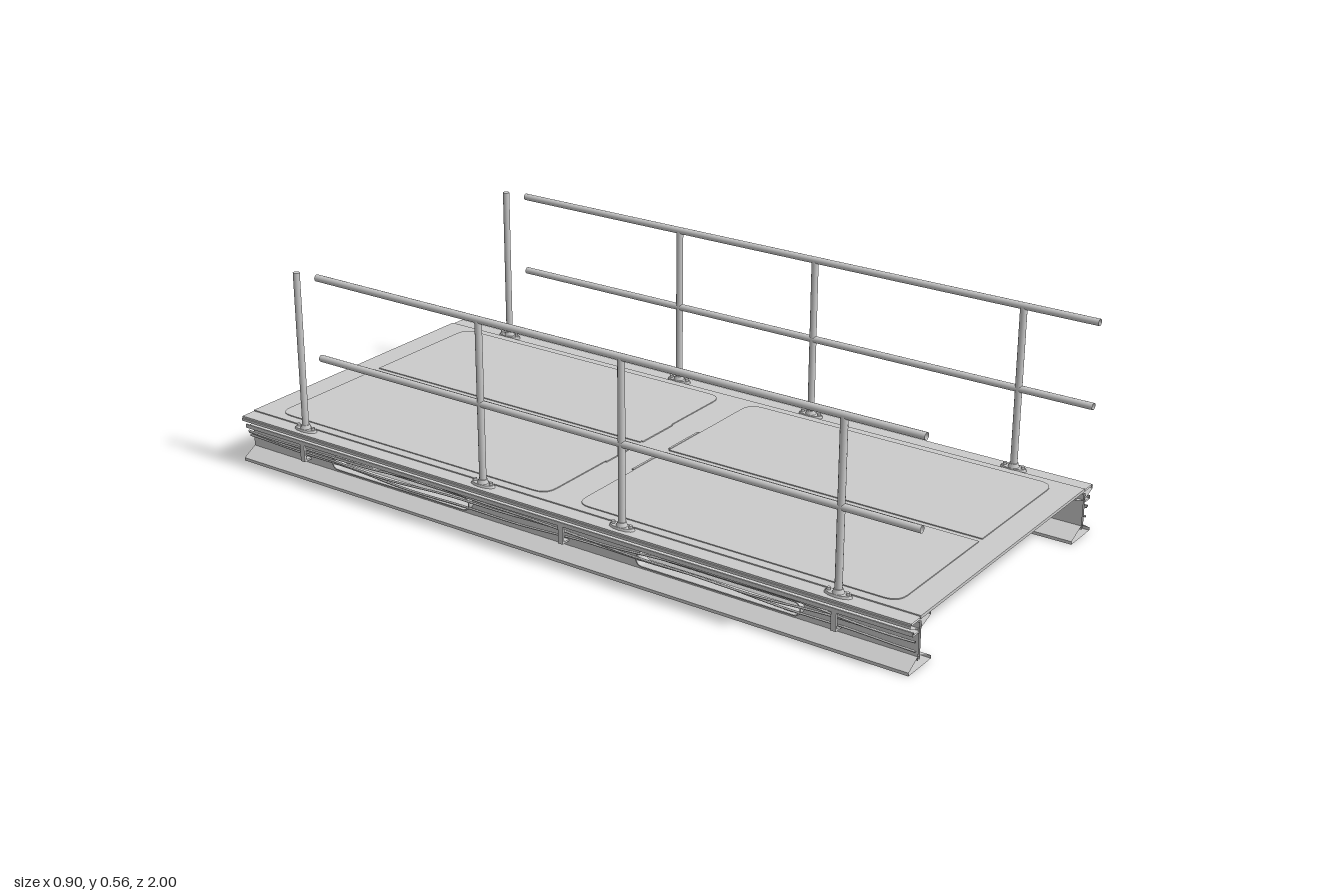
import * as THREE from 'three';

const steel = new THREE.MeshStandardMaterial({ color: 0xcccccc, side: THREE.DoubleSide });

function add(parent, name, geometry, x = 0, y = 0, z = 0) {
  const mesh = new THREE.Mesh(geometry, steel);
  mesh.name = name;
  mesh.position.set(x, y, z);
  parent.add(mesh);
  return mesh;
}

// Open-ended rolled section: a closed (x, y) profile swept along z
function rolled(profile, z0, z1) {
  const pos = [];
  profile.forEach(([ax, ay], i) => {
    const [bx, by] = profile[(i + 1) % profile.length];
    pos.push(ax, ay, z1, bx, by, z1, bx, by, z0, ax, ay, z1, bx, by, z0, ax, ay, z0);
  });
  const g = new THREE.BufferGeometry();
  g.setAttribute('position', new THREE.Float32BufferAttribute(pos, 3));
  g.computeVertexNormals();
  return g;
}

// Rounded slot outline
function stadium(Path, cx, cy, length, r) {
  const p = new Path();
  const h = length / 2 - r;
  p.moveTo(cx - h, cy - r);
  p.lineTo(cx + h, cy - r);
  p.absarc(cx + h, cy, r, -Math.PI / 2, Math.PI / 2, false);
  p.lineTo(cx - h, cy + r);
  p.absarc(cx - h, cy, r, Math.PI / 2, Math.PI * 1.5, false);
  return p;
}

// Flat plate lying on y, with individually chosen corner radii
function panel(x0, x1, z0, z1, radii, depth) {
  const s = new THREE.Shape();
  const [a, b, c, d] = radii;
  s.moveTo(x0 + a, z0);
  s.lineTo(x1 - b, z0);
  s.quadraticCurveTo(x1, z0, x1, z0 + b);
  s.lineTo(x1, z1 - c);
  s.quadraticCurveTo(x1, z1, x1 - c, z1);
  s.lineTo(x0 + d, z1);
  s.quadraticCurveTo(x0, z1, x0, z1 - d);
  s.lineTo(x0, z0 + a);
  s.quadraticCurveTo(x0, z0, x0 + a, z0);
  const g = new THREE.ExtrudeGeometry(s, { depth, bevelEnabled: false, curveSegments: 5 });
  return g.rotateX(Math.PI / 2);
}

function buildDeck(root) {
  const deck = new THREE.Group();
  deck.name = 'deck';
  root.add(deck);
  add(deck, 'deckPlate', new THREE.BoxGeometry(0.81, 0.008, 2), 0, 0.125, 0);
  // Raised tread panels, parted by a centre groove and a cross joint
  for (const sx of [-1, 1]) for (const sz of [-1, 1]) {
    const x = [0.008 * sx, 0.38 * sx].sort((p, q) => p - q);
    const z = [0.045 * sz, 0.93 * sz].sort((p, q) => p - q);
    const radii = sx < 0 ? [0.04, 0, 0, 0.04] : [0, 0.04, 0.04, 0];
    add(deck, 'treadPanel', panel(x[0], x[1], z[0], z[1], radii, 0.003), 0, 0.1315, 0);
    add(deck, 'jointBar', new THREE.BoxGeometry(0.13, 0.003, 0.006), sx * 0.078, 0.1315, sz * 0.042);
  }
}

function buildBeam(root, s) {
  const beam = new THREE.Group();
  beam.name = s > 0 ? 'leftBeam' : 'rightBeam';
  root.add(beam);
  const side = (pts) => pts.map(([x, y]) => [x * s, y]);

  // Tapered flanges
  add(beam, 'bottomFlange', rolled(side([[0.35, 0], [0.45, 0], [0.45, 0.008], [0.412, 0.03],
    [0.4, 0.03], [0.35, 0.008]]), -1, 1));
  add(beam, 'topFlange', rolled(side([[0.36, 0.121], [0.45, 0.121], [0.45, 0.114], [0.412, 0.1],
    [0.4, 0.1], [0.36, 0.114]]), -1, 1));
  add(beam, 'kerbStrip', rolled(side([[0.405, 0.121], [0.447, 0.121], [0.447, 0.126],
    [0.405, 0.126]]), -1, 1));
  add(beam, 'cableLedge', rolled(side([[0.41, 0.09], [0.438, 0.09], [0.438, 0.1], [0.434, 0.1],
    [0.434, 0.094], [0.41, 0.094]]), -1, 1));

  // Web sheets with two slots
  const web = new THREE.Shape([[-1, 0.02], [1, 0.02], [1, 0.115], [-1, 0.115]]
    .map(([u, v]) => new THREE.Vector2(u, v)));
  for (const c of [-0.48, 0.48]) web.holes.push(stadium(THREE.Path, c, 0.061, 0.45, 0.016));
  for (const x of [0.402, 0.41]) {
    add(beam, 'web', new THREE.ShapeGeometry(web, 8).rotateY(-Math.PI / 2), s * x);
  }

  // Collars lining the slots
  for (const c of [-0.48, 0.48]) {
    const rim = stadium(THREE.Shape, 0, 0, 0.456, 0.019);
    rim.holes.push(stadium(THREE.Path, 0, 0, 0.45, 0.016));
    const g = new THREE.ExtrudeGeometry(rim, { depth: 0.04, bevelEnabled: false, curveSegments: 8 });
    g.translate(0, 0, -0.02).rotateY(-Math.PI / 2);
    add(beam, 'slotCollar', g, s * 0.405, 0.061, c);
  }

  // Loosely hung cables
  for (let k = 0; k < 3; k++) {
    const pts = [];
    for (let i = 0; i <= 40; i++) {
      const z = -1 + i / 20;
      const y = 0.056 + k * 0.012 + 0.006 * Math.sin(z * (5 + k) + k * 2) + 0.002 * Math.sin(z * 17 + k);
      pts.push(new THREE.Vector3(s * (0.422 + k * 0.003), y, z));
    }
    add(beam, 'cable', new THREE.TubeGeometry(new THREE.CatmullRomCurve3(pts), 80, 0.0028, 6));
  }

  // C-shaped cable clips
  for (const z of [-0.8, 0.04, 0.8]) {
    const clip = new THREE.Shape(side([[0.412, 0.092], [0.437, 0.092], [0.437, 0.043], [0.412, 0.043],
      [0.412, 0.048], [0.431, 0.048], [0.431, 0.086], [0.412, 0.086]]).map(([u, v]) => new THREE.Vector2(u, v)));
    add(beam, 'cableClip', new THREE.ExtrudeGeometry(clip, { depth: 0.014, bevelEnabled: false }), 0, 0, z - 0.007);
  }
}

function buildRailing(root, s) {
  const railing = new THREE.Group();
  railing.name = s > 0 ? 'leftRailing' : 'rightRailing';
  railing.position.x = s * 0.419;
  root.add(railing);

  // Posts with bolted feet
  for (const z of [-0.8, -0.21, 0.21, 0.8]) {
    add(railing, 'post', new THREE.CylinderGeometry(0.009, 0.009, 0.43, 12), 0, 0.34, z);
    add(railing, 'postSocket', new THREE.CylinderGeometry(0.011, 0.015, 0.012, 12), 0, 0.136, z);
    const foot = add(railing, 'postFoot', new THREE.CylinderGeometry(0.015, 0.017, 0.008, 12), 0, 0.128, z);
    foot.scale.z = 2.2;
    for (const d of [-0.025, 0.025]) {
      add(railing, 'footBolt', new THREE.CylinderGeometry(0.005, 0.005, 0.007, 6), 0, 0.135, z + d);
    }
  }

  // Open-ended tube rails, stopping short of the last post
  for (const y of [0.34, 0.555]) {
    const g = new THREE.CylinderGeometry(0.009, 0.009, 1.73, 12, 1, true).rotateX(Math.PI / 2);
    add(railing, y > 0.5 ? 'topRail' : 'midRail', g, 0, y, 0.135);
  }
}

export function createModel() {
  const root = new THREE.Group();
  root.name = 'footbridge';
  buildDeck(root);
  for (const s of [-1, 1]) {
    buildBeam(root, s);
    buildRailing(root, s);
  }
  return root;
}
